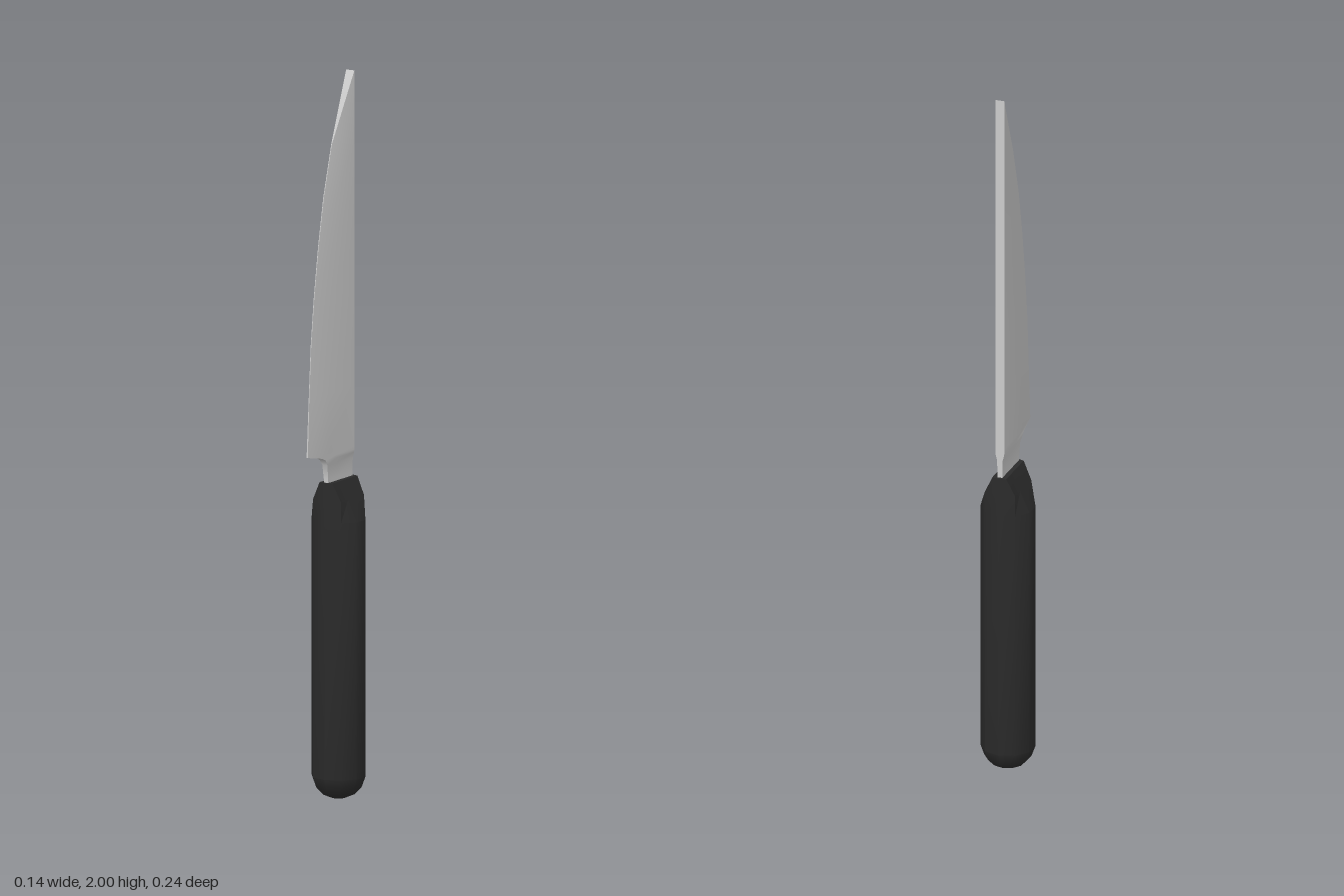
import * as THREE from 'three';
import { toCreasedNormals } from 'three/addons/utils/BufferGeometryUtils.js';

// Joins closed rings of [x, y, z] points, listed bottom to top, and caps both ends
function loft(rings, crease) {
  const n = rings[0].length, index = [];
  rings.slice(1).forEach((_, r) => {
    for (let i = 0; i < n; i++) {
      const a = r * n + i, b = r * n + (i + 1) % n;
      index.push(a, b, b + n, a, b + n, a + n);
    }
  });
  const top = (rings.length - 1) * n;
  for (let i = 1; i < n - 1; i++) index.push(0, i + 1, i, top, top + i, top + i + 1);
  const geometry = new THREE.BufferGeometry();
  geometry.setAttribute('position', new THREE.Float32BufferAttribute(rings.flat(2), 3));
  geometry.setIndex(index);
  return toCreasedNormals(geometry, crease);
}

// Ten-sided handle ring, with its sides cut flat at x = +-limit
const handleZ = -0.045, sides = 10;
function handleRing([y, radius, limit = 1]) {
  const corner = (k) => {
    const t = (k / sides) * Math.PI * 2;
    return [Math.sin(t) * radius, Math.cos(t) * radius];
  };
  const [x1, z1] = corner(1);
  return Array.from({ length: sides }, (_, k) => {
    let [x, z] = corner(k);
    // Corners beside the front and back ridges slide along their facet
    if (Math.abs(z) > radius * 0.5 && Math.abs(x) > limit) {
      z = Math.sign(z) * (radius - (limit / x1) * (radius - z1));
    }
    x = THREE.MathUtils.clamp(x, -limit, limit);
    return [x, y, handleZ + z];
  });
}

// Blade ring: flat spine at the back, a bevel line, and the cutting edge in front
const spineZ = -0.107;
function bladeRing([y, edgeZ, spine, bevel, edge]) {
  const bevelZ = THREE.MathUtils.lerp(spineZ, edgeZ, 0.6);
  const half = [[edge, edgeZ], [bevel, bevelZ], [spine, spineZ]];
  return [
    ...half.map(([x, z]) => [x, y, z]),
    ...half.reverse().map(([x, z]) => [-x, y, z]),
  ];
}

export function createModel() {
  const model = new THREE.Group();
  model.name = 'knife';

  // Handle: rounded butt, straight grip, wedge-shaped top
  const handleProfile = [
    [0, 0.02], [0.01, 0.044], [0.03, 0.064], [0.06, 0.075],
    [0.77, 0.075], [0.83, 0.075, 0.0441], [0.88, 0.073, 0.02],
  ];
  const handle = new THREE.Mesh(
    loft(handleProfile.map(handleRing), 0.68),
    new THREE.MeshStandardMaterial({ color: 0x2b2b2b })
  );
  handle.name = 'handle';

  // Blade: thin neck, stepped heel, curved edge, slanted tip
  const bladeProfile = [
    [0.84, 0.02, 0.007, 0.007, 0.007],
    [0.89, 0.021, 0.007, 0.007, 0.007],
    [0.93, 0.027, 0.008, 0.008, 0.008],
    [0.945, 0.038, 0.012, 0.012, 0.01],
    [0.953, 0.056, 0.013, 0.012, 0.008],
    [0.965, 0.12, 0.013, 0.012, 0.002],
    [1.13, 0.11, 0.013, 0.012, 0.001],
    [1.27, 0.1, 0.013, 0.012, 0.001],
    [1.4, 0.084, 0.013, 0.011, 0.001],
    [1.54, 0.061, 0.013, 0.011, 0.001],
    [1.67, 0.034, 0.013, 0.01, 0.001],
    [1.81, -0.008, 0.013, 0.009, 0.001],
    [2, spineZ, 0.013, 0.013, 0.013],
  ];
  const blade = new THREE.Mesh(
    loft(bladeProfile.map(bladeRing), 0.6),
    new THREE.MeshStandardMaterial({ color: 0xcccccc })
  );
  blade.name = 'blade';

  model.add(handle, blade);
  return model;
}
